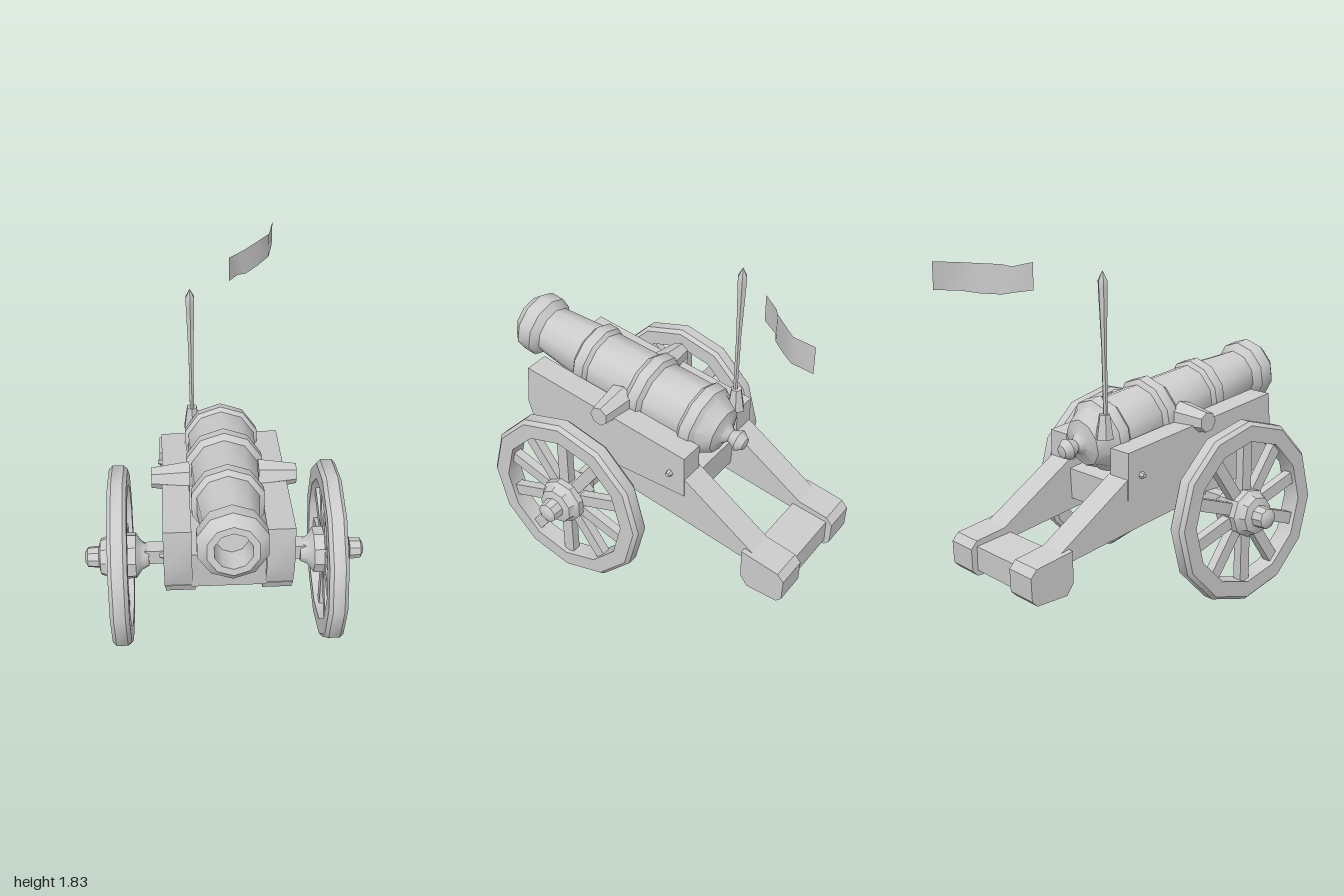
import * as THREE from 'three';
import { toCreasedNormals } from 'three/addons/utils/BufferGeometryUtils.js';

const material = new THREE.MeshStandardMaterial({ color: 0xcccccc });
const clothMaterial = new THREE.MeshStandardMaterial({ color: 0xcccccc, side: THREE.DoubleSide });
const TILT = 0.185; // upward slope of barrel and carriage

function add(parent, name, geometry, x = 0, y = 0, z = 0) {
  const mesh = new THREE.Mesh(toCreasedNormals(geometry, 0.65), material);
  mesh.name = name;
  mesh.position.set(x, y, z);
  parent.add(mesh);
  return mesh;
}

const lathe = (points, sides) =>
  new THREE.LatheGeometry(points.map(([r, h]) => new THREE.Vector2(r, h)), sides);

// Side outline given as [z, y], extruded from x0 to x1
function sidePlate(outline, x0, x1) {
  const shape = new THREE.Shape(outline.map(([z, y]) => new THREE.Vector2(-z, y)));
  const geometry = new THREE.ExtrudeGeometry(shape, { depth: x1 - x0, bevelEnabled: false });
  return geometry.rotateY(Math.PI / 2).translate(x0, 0, 0);
}

function createBarrel() {
  const barrel = new THREE.Group();
  barrel.name = 'barrel';
  const profile = [
    [0, -0.5], [0.035, -0.49], [0.06, -0.45], [0.035, -0.4], [0.06, -0.37], [0.13, -0.35],
    [0.175, -0.27], [0.205, -0.25], [0.21, -0.19], [0.19, -0.17], [0.183, 0.07],
    [0.21, 0.09], [0.21, 0.15], [0.182, 0.18], [0.172, 0.45], [0.192, 0.47], [0.192, 0.53],
    [0.165, 0.55], [0.14, 0.82], [0.178, 0.86], [0.178, 0.94], [0.13, 0.99], [0.095, 0.99],
    [0.08, 0.86], [0, 0.86],
  ];
  add(barrel, 'barrelTube', lathe(profile, 10).rotateX(Math.PI / 2));
  barrel.position.set(0.005, 0.93, 0);
  barrel.rotation.x = -TILT;
  return barrel;
}

function createWheel() {
  const wheel = new THREE.Group();
  wheel.name = 'wheel';
  const rim = [[0.39, -0.05], [0.475, -0.05], [0.495, -0.03], [0.495, 0.03], [0.475, 0.05], [0.39, 0.05], [0.39, -0.05]];
  add(wheel, 'rim', lathe(rim, 12).rotateZ(-Math.PI / 2));
  const hub = [
    [0, -0.15], [0.06, -0.15], [0.08, -0.11], [0.125, -0.08], [0.13, 0.06], [0.11, 0.08],
    [0.1, 0.11], [0.06, 0.12], [0.055, 0.18], [0.03, 0.195], [0, 0.195],
  ];
  add(wheel, 'hub', lathe(hub, 9).rotateZ(-Math.PI / 2));
  for (let i = 0; i < 10; i++) {
    const spoke = new THREE.BoxGeometry(0.05, 0.32, 0.065);
    add(wheel, 'spoke', spoke.translate(0, 0.25, 0).rotateX((i / 10) * Math.PI * 2));
  }
  return wheel;
}

function createCarriage() {
  const carriage = new THREE.Group();
  carriage.name = 'carriage';
  const cheek = [[0.73, 1.03], [-0.31, 0.87], [-0.31, 0.62], [0.7, 0.64], [0.75, 0.8]];
  const trail = [[0.71, 0.66], [-0.3, 0.735], [-0.74, 0.44], [-0.74, 0.37], [-0.2, 0.465], [0.69, 0.61]];
  const trailEnd = [[-0.69, 0.45], [-0.91, 0.41], [-0.945, 0.37], [-0.94, 0.25], [-0.91, 0.22], [-0.73, 0.225], [-0.69, 0.28]];
  const bed = [[0.73, 0.88], [-0.3, 0.68], [-0.29, 0.51], [0.71, 0.65]];

  for (const side of [1, -1]) {
    const plate = (name, outline, inner, outer) =>
      add(carriage, name, side > 0 ? sidePlate(outline, inner, outer) : sidePlate(outline, -outer, -inner));
    plate('cheek', cheek, 0.185, 0.325);
    plate('trail', trail, 0.17, 0.32);
    plate('trailEnd', trailEnd, 0.17, 0.35);
    // Round cap over the barrel pivot
    const cap = new THREE.CylinderGeometry(0.055, 0.085, 0.2, 7).rotateZ(-side * Math.PI / 2);
    add(carriage, 'pivotCap', cap, side * 0.28, 0.96, 0.2);
    for (const [y, z] of [[0.68, 0.5], [0.74, -0.22]]) {
      const bolt = new THREE.CylinderGeometry(0.012, 0.022, 0.03, 6).rotateZ(-side * Math.PI / 2);
      add(carriage, 'bolt', bolt, side * 0.335, y, z);
    }
  }
  add(carriage, 'bed', sidePlate(bed, -0.19, 0.19));
  const crossbar = [[-0.7, 0.41], [-0.91, 0.38], [-0.91, 0.25], [-0.7, 0.27]];
  add(carriage, 'crossbar', sidePlate(crossbar, -0.18, 0.18));
  add(carriage, 'axle', new THREE.BoxGeometry(0.9, 0.09, 0.08), 0, 0.51, 0.29);
  return carriage;
}

function createFlag() {
  const path = [ // x, z, lower y, upper y
    [0.07, -0.59, 1.68, 1.82], [0.125, -0.68, 1.67, 1.8], [0.17, -0.71, 1.66, 1.81],
    [0.24, -0.79, 1.665, 1.815], [0.31, -0.87, 1.68, 1.82], [0.34, -1.0, 1.69, 1.83],
  ];
  const positions = [];
  const index = [];
  path.forEach(([x, z, low, high], i) => {
    positions.push(x, low, z, x, high, z);
    const a = i * 2;
    if (i < path.length - 1) index.push(a, a + 2, a + 1, a + 1, a + 2, a + 3);
  });
  const geometry = new THREE.BufferGeometry();
  geometry.setAttribute('position', new THREE.Float32BufferAttribute(positions, 3));
  geometry.setIndex(index);
  geometry.computeVertexNormals();
  const flag = new THREE.Mesh(geometry, clothMaterial);
  flag.name = 'flag';
  return flag;
}

export function createModel() {
  const model = new THREE.Group();
  model.name = 'cannon';
  model.add(createCarriage(), createBarrel());

  for (const side of [1, -1]) {
    const wheel = createWheel();
    wheel.position.set(side * 0.56, 0.495, 0.29);
    if (side < 0) wheel.rotation.y = Math.PI;
    model.add(wheel);
  }

  // Pole with a pointed tip, standing in a small socket at the breech
  const pole = [[0, 0], [0.013, 0], [0.015, 0.4], [0.026, 0.71], [0.026, 0.74], [0, 0.79]];
  const poleMesh = add(model, 'flagPole', lathe(pole, 6), -0.15, 0.99, -0.312);
  poleMesh.rotation.x = -0.02;
  add(model, 'poleSocket', new THREE.CylinderGeometry(0.03, 0.05, 0.13, 6), -0.15, 0.98, -0.32);
  model.add(createFlag());
  return model;
}
